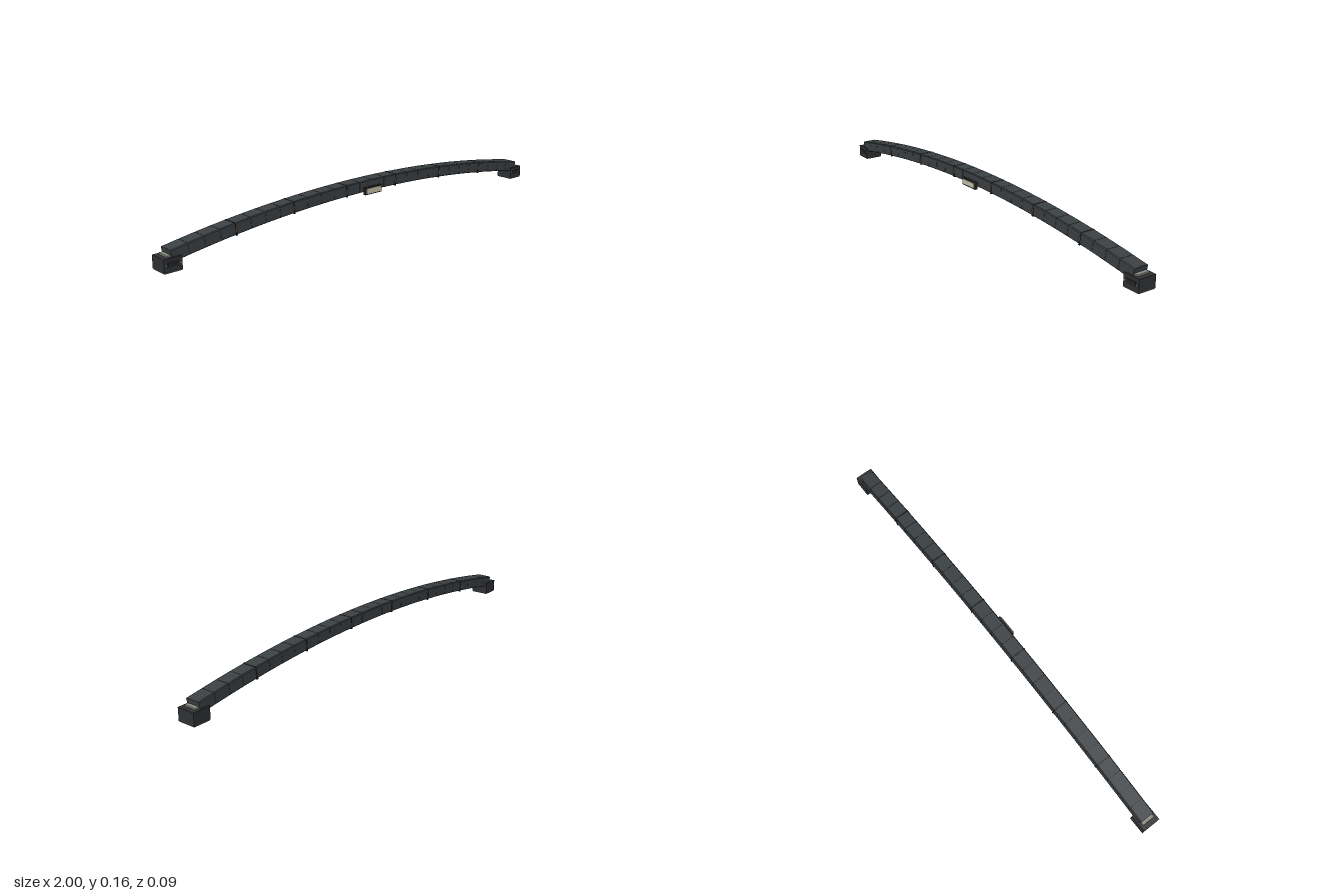
import * as THREE from 'three';

const R = 5.65, TOP = 0.164, HALF = 0.1716;   // arc radius, crown height, half angle
const SEGMENTS = 28, MODULE = 4;
const STEP = 2 * HALF / SEGMENTS;
const ZC = -0.0045;                           // beam centre line in z

const paint = (color) => new THREE.MeshStandardMaterial({ color, flatShading: true });
const mats = {
  shell: paint(0x3c4144), dark: paint(0x222427), block: paint(0x303134),
  strip: paint(0x6b4a1c), amber: paint(0xb07a30), plate: paint(0x8c8c84), ivory: paint(0xc9c5ab),
};

function box(parent, name, mat, size, pos) {
  const mesh = new THREE.Mesh(new THREE.BoxGeometry(...size), mats[mat]);
  mesh.name = name;
  mesh.position.set(...pos);
  parent.add(mesh);
  return mesh;
}

// Box section with chamfered upper edges, running along x, top at y = 0
function beamPiece(length, width, height, chamfer) {
  const w = width / 2, c = chamfer;
  const shape = new THREE.Shape([
    [-w, -height], [w, -height], [w, -c], [w - c, 0], [-w + c, 0], [-w, -c],
  ].map(([x, y]) => new THREE.Vector2(x, y)));
  const geo = new THREE.ExtrudeGeometry(shape, { depth: length, bevelEnabled: false });
  return geo.translate(0, 0, -length / 2).rotateY(Math.PI / 2);
}

// Frame on the crown line of the arc: x along it, y outward
function arcFrame(parent, name, angle) {
  const g = new THREE.Group();
  g.name = name;
  g.position.set(R * Math.sin(angle), TOP - R + R * Math.cos(angle), 0);
  g.rotation.z = -angle;
  parent.add(g);
  return g;
}

function addPiece(parent, name, mat, geo, y = 0) {
  const mesh = new THREE.Mesh(geo, mats[mat]);
  mesh.name = name;
  mesh.position.set(0, y, ZC);
  parent.add(mesh);
}

export function createModel() {
  const model = new THREE.Group();
  model.name = 'archedBeam';

  // Shell panels over a dark core, with the strip below
  const len = R * STEP;
  const panel = beamPiece(len - 0.0016, 0.065, 0.043, 0.003);
  const core = beamPiece(len, 0.062, 0.041, 0.003);
  for (let i = 0; i < SEGMENTS; i++) {
    const seg = arcFrame(model, 'beamSegment', -HALF + (i + 0.5) * STEP);
    addPiece(seg, 'shellPanel', 'shell', panel);
    addPiece(seg, 'core', 'dark', core, -0.001);
    for (const s of [-1, 1]) {
      box(seg, 'lowerRail', 'dark', [len, 0.005, 0.018], [0, -0.0445, ZC + s * 0.021]);
    }
    box(seg, 'undersideStrip', 'strip', [len, 0.002, 0.014], [0, -0.0437, ZC]);
  }

  // Joint bands between the seven modules
  const band = beamPiece(0.006, 0.068, 0.051, 0.004);
  for (let i = MODULE; i < SEGMENTS; i += MODULE) {
    const joint = arcFrame(model, 'jointBand', -HALF + i * STEP);
    addPiece(joint, 'band', 'dark', band, 0.001);
    box(joint, 'markerLamp', 'amber', [0.004, 0.016, 0.004], [0, -0.024, 0.0305]);
  }

  // Dark caps closing both ends of the beam
  const cap = beamPiece(0.004, 0.0655, 0.0475, 0.003);
  for (const s of [-1, 1]) {
    addPiece(arcFrame(model, 'endCap', s * HALF), 'cap', 'shell', cap);
  }

  // End footings
  for (const s of [-1, 1]) {
    const foot = new THREE.Group();
    foot.name = s > 0 ? 'leftFooting' : 'rightFooting';
    model.add(foot);
    box(foot, 'basePlate', 'plate', [0.072, 0.004, 0.076], [s * 0.963, 0.002, ZC]);
    box(foot, 'footingBlock', 'block', [0.075, 0.052, 0.079], [s * 0.9625, 0.029, ZC]);
    box(foot, 'bearingPlate', 'plate', [0.045, 0.006, 0.056], [s * 0.957, 0.058, ZC]);
    box(foot, 'frontCover', 'dark', [0.045, 0.018, 0.003], [s * 0.9625, 0.031, 0.0355]);
    for (const dx of [-0.029, 0.029]) {
      const bolt = new THREE.Mesh(new THREE.CylinderGeometry(0.003, 0.003, 0.003, 8), mats.plate);
      bolt.name = 'bolt';
      bolt.rotation.x = Math.PI / 2;
      bolt.position.set(s * 0.9625 + dx, 0.031, 0.0355);
      foot.add(bolt);
    }
  }

  // Blank panel at mid span
  const sign = new THREE.Group();
  sign.name = 'centrePanel';
  sign.position.set(-0.003, 0.122, 0);
  model.add(sign);
  box(sign, 'panelFrame', 'dark', [0.092, 0.031, 0.012], [0, 0, 0.036]);
  box(sign, 'panelFace', 'ivory', [0.082, 0.022, 0.004], [0, 0, 0.0435]);
  for (const s of [-1, 1]) {
    box(sign, 'panelBracket', 'amber', [0.008, 0.038, 0.004], [s * 0.026, 0, 0.0295]);
  }
  return model;
}
